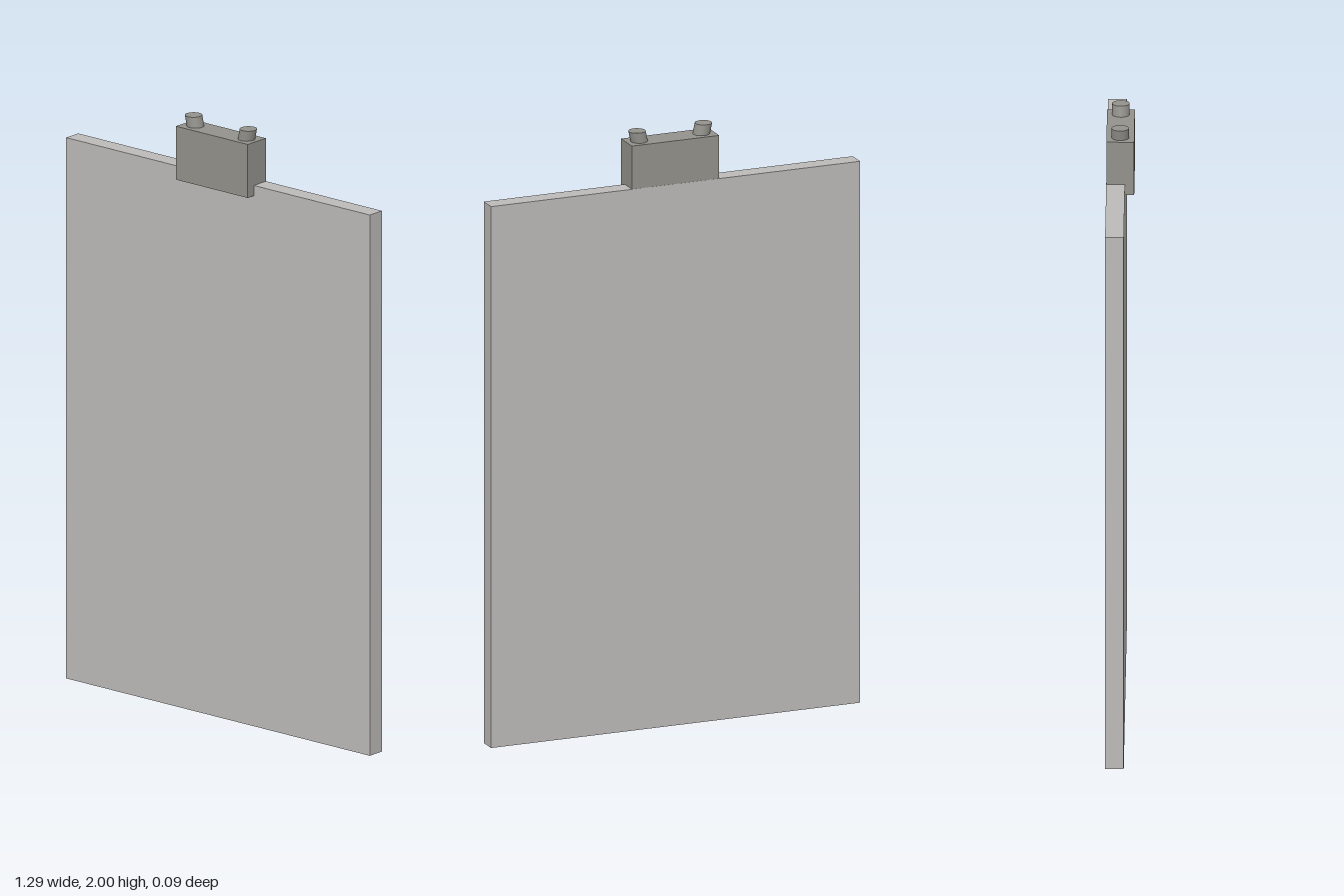
import * as THREE from 'three';

export function createModel() {
  const group = new THREE.Group();
  const boardGrey = new THREE.MeshStandardMaterial({ color: 0xbdbbb9 });
  boardGrey.name = 'light grey board';
  const clipGrey = new THREE.MeshStandardMaterial({ color: 0x94928c });
  clipGrey.name = 'warm grey clip';

  const add = (name, geometry, material, x, y, z) => {
    const mesh = new THREE.Mesh(geometry, material);
    mesh.name = name;
    mesh.position.set(x, y, z);
    group.add(mesh);
  };

  // Flat hanging panel
  add('panel', new THREE.BoxGeometry(1.286, 1.82, 0.06), boardGrey, 0, 0.91, -0.015);

  // Clip block, its back just inside the back of the panel
  add('clip', new THREE.BoxGeometry(0.304, 0.18, 0.0895), clipGrey, 0, 1.875, 0.00025);

  // Two short pegs leaning outwards, with level tops
  for (const side of [-1, 1]) {
    const peg = new THREE.CylinderGeometry(0.028, 0.028, 0.045, 24);
    peg.applyMatrix4(new THREE.Matrix4().makeShear(0, 0, side * 0.22, 0, 0, 0));
    add(side > 0 ? 'leftPeg' : 'rightPeg', peg, clipGrey, side * 0.111, 1.9775, 0);
  }
  return group;
}
